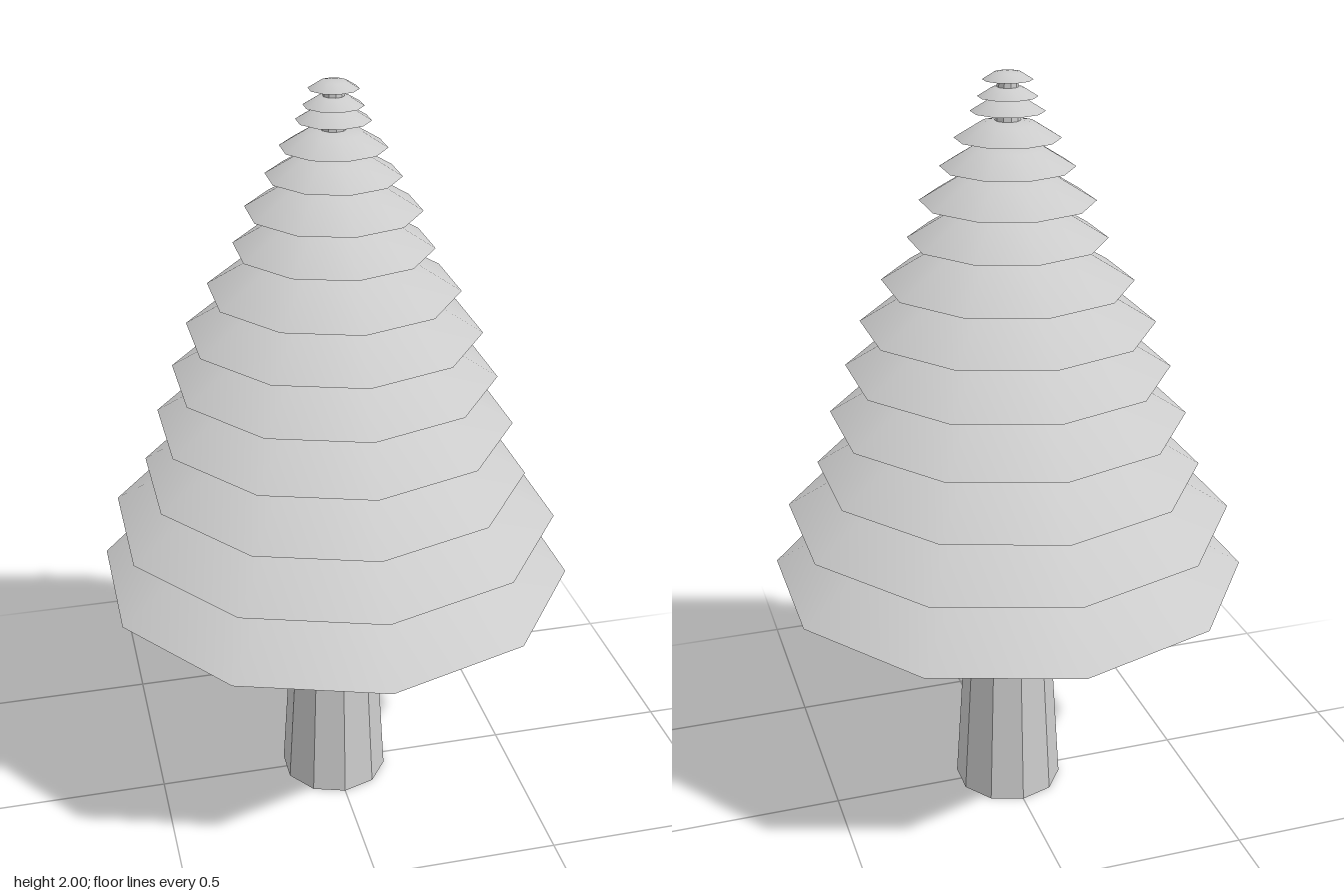
import * as THREE from 'three';
import { toCreasedNormals } from 'three/addons/utils/BufferGeometryUtils.js';

const SIDES = 10;

// [height of the rim, corner radius] for each foliage tier, bottom to top
const TIERS = [
  [0.68, 0.63], [0.85, 0.588], [0.975, 0.505], [1.12, 0.465], [1.25, 0.42],
  [1.37, 0.378], [1.48, 0.32], [1.59, 0.252], [1.685, 0.22], [1.77, 0.168],
  [1.84, 0.132], [1.905, 0.092], [1.94, 0.074], [1.98, 0.062],
];

// Shallow ten-sided cap with a flat underside, soft on top and sharp at the rim
function tierGeometry(radius) {
  const h = Math.min(0.34 * radius, 0.22);
  const profile = [[0, 0], [1, 0], [0.55, 0.8], [0.3, 0.93], [0, 1]]
    .map(([r, y]) => new THREE.Vector2(r * radius, y * h));
  return toCreasedNormals(new THREE.LatheGeometry(profile, SIDES), Math.PI / 4);
}

export function createModel() {
  const tree = new THREE.Group();
  tree.name = 'coniferTree';

  // Tapered trunk running up through all the tiers
  const trunkHeight = 1.99;
  const trunk = new THREE.Mesh(
    new THREE.CylinderGeometry(0.025, 0.147, trunkHeight, SIDES),
    new THREE.MeshStandardMaterial({ color: 0xcccccc, flatShading: true }),
  );
  trunk.position.y = trunkHeight / 2;
  trunk.name = 'trunk';
  tree.add(trunk);

  // Stacked foliage tiers
  const foliage = new THREE.Group();
  foliage.name = 'foliage';
  const leafMaterial = new THREE.MeshStandardMaterial({ color: 0xcccccc });
  TIERS.forEach(([y, radius], i) => {
    const tier = new THREE.Mesh(tierGeometry(radius), leafMaterial);
    tier.position.y = y;
    tier.name = `foliageTier${i + 1}`;
    foliage.add(tier);
  });
  tree.add(foliage);

  return tree;
}
